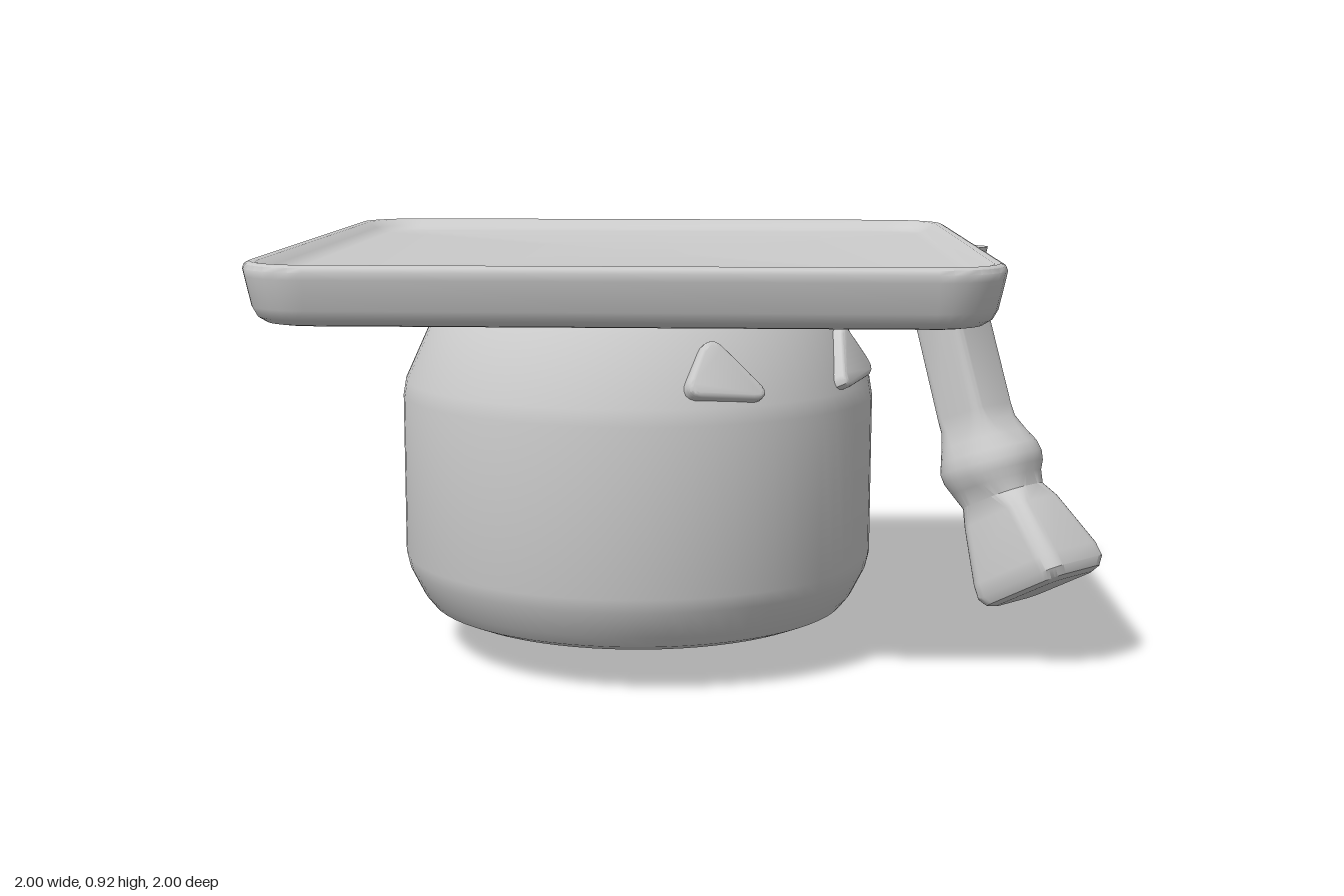
import * as THREE from 'three';
import { toCreasedNormals } from 'three/addons/utils/BufferGeometryUtils.js';

const material = new THREE.MeshStandardMaterial({ color: 0xcccccc });

function part(name, geometry, crease) {
  const mesh = new THREE.Mesh(toCreasedNormals(geometry, crease), material);
  mesh.name = name;
  return mesh;
}

// Lofts rounded rectangles, listed bottom to top:
// [x, y, z, half width, half depth, corner radius, tilt about x]
function loft(sections, cornerSteps = 8) {
  const positions = [], index = [];
  const count = 4 * (cornerSteps + 1);
  const axis = new THREE.Vector3(1, 0, 0);
  for (const [x, y, z, hx, hz, r, tilt = 0] of sections) {
    for (let q = 0; q < 4; q++) {
      const sx = q === 0 || q === 3 ? 1 : -1;
      const sz = q < 2 ? 1 : -1;
      for (let k = 0; k <= cornerSteps; k++) {
        const t = (q + k / cornerSteps) * Math.PI / 2;
        const p = new THREE.Vector3(
          sx * (hx - r) + r * Math.cos(t), 0, sz * (hz - r) + r * Math.sin(t));
        p.applyAxisAngle(axis, tilt);
        positions.push(p.x + x, p.y + y, p.z + z);
      }
    }
  }
  for (let i = 0; i < sections.length - 1; i++) {
    for (let j = 0; j < count; j++) {
      const a = i * count + j, b = i * count + (j + 1) % count;
      index.push(a, a + count, b, b, a + count, b + count);
    }
  }
  const geometry = new THREE.BufferGeometry();
  geometry.setAttribute('position', new THREE.Float32BufferAttribute(positions, 3));
  geometry.setIndex(index);
  return geometry;
}

function roundedTriangle(points, r) {
  const corners = points.map(([x, y]) => new THREE.Vector2(x, y));
  const shape = new THREE.Shape();
  corners.forEach((c, i) => {
    const prev = corners[(i + 2) % 3], next = corners[(i + 1) % 3];
    const a = c.clone().add(prev.clone().sub(c).setLength(r));
    const b = c.clone().add(next.clone().sub(c).setLength(r));
    if (i === 0) shape.moveTo(a.x, a.y); else shape.lineTo(a.x, a.y);
    shape.quadraticCurveTo(c.x, c.y, b.x, b.y);
  });
  shape.closePath();
  return shape;
}

export function createModel() {
  const model = new THREE.Group();
  model.name = 'graduationCap';

  // Round body with a shallow pointed base
  const profile = [[0, 0], [0.05, 0.006], [0.44, 0.09], [0.475, 0.105], [0.495, 0.13],
    [0.525, 0.19], [0.532, 0.22], [0.532, 0.58], [0.526, 0.615], [0.46, 0.76],
    [0.44, 0.785], [0.43, 0.83]].map(([x, y]) => new THREE.Vector2(x, y));
  model.add(part('body', new THREE.LatheGeometry(profile, 72), 0.4));

  // Square board, turned corner-forward, with a raised rim
  const boardProfile = [[0.75, 0.8], [0.07, 0.8], [0.045, 0.804], [0.027, 0.815],
    [0.016, 0.835], [0.003, 0.895], [0, 0.91], [0.004, 0.919], [0.014, 0.924],
    [0.026, 0.922], [0.045, 0.908], [0.06, 0.9], [0.08, 0.897], [0.75, 0.897]];
  const board = part('board', loft(boardProfile.map(([inset, y]) => {
    const h = 0.75 - inset;
    return [0, y, 0, h, h, Math.min(h, Math.max(0.145 - inset, 0.07))];
  })), 0.7);
  board.rotation.y = Math.PI / 4;
  model.add(board);

  // Slanted triangular eyes lying on the upper slope of the body
  for (const side of [1, -1]) {
    const outline = [[-0.085 * side, -0.06], [0.085 * side, -0.045], [0.02 * side, 0.065]];
    if (side < 0) outline.reverse();
    const geometry = new THREE.ExtrudeGeometry(roundedTriangle(outline, 0.03), {
      depth: 0.05, bevelEnabled: true, bevelThickness: 0.012, bevelSize: 0.01,
      bevelSegments: 3, curveSegments: 6 });
    geometry.translate(0, 0, -0.04);
    const eye = part(side > 0 ? 'leftEye' : 'rightEye', geometry, 0.6);
    eye.position.set(0.185 * side, 0.685, 0.46);
    eye.rotation.set(-0.42, 0.36 * side, 0, 'YXZ');
    model.add(eye);
  }

  // Tassel: flared brush, round knot and square cord running into the board
  model.add(part('tassel', loft([
    [0.74, 0.10, 0.605, 0, 0, 0, -0.5],
    [0.74, 0.10, 0.605, 0.08, 0.1, 0.03, -0.5],
    [0.74, 0.107, 0.601, 0.098, 0.12, 0.04, -0.5],
    [0.74, 0.125, 0.592, 0.108, 0.13, 0.04, -0.5],
    [0.74, 0.155, 0.575, 0.108, 0.127, 0.04, -0.5],
    [0.735, 0.27, 0.505, 0.085, 0.1, 0.04, -0.5],
    [0.735, 0.305, 0.48, 0.082, 0.092, 0.06, -0.45],
    [0.735, 0.335, 0.46, 0.1, 0.104, 0.085, -0.4],
    [0.735, 0.358, 0.45, 0.112, 0.116, 0.1, -0.36],
    [0.735, 0.38, 0.442, 0.115, 0.12, 0.105, -0.36],
    [0.735, 0.405, 0.434, 0.11, 0.113, 0.1, -0.36],
    [0.73, 0.435, 0.422, 0.092, 0.094, 0.07, -0.36],
    [0.723, 0.47, 0.41, 0.074, 0.076, 0.04, -0.36],
    [0.72, 0.5, 0.4, 0.07, 0.07, 0.025, -0.36],
    [0.712, 0.78, 0.31, 0.07, 0.068, 0.025, -0.34],
    [0.713, 0.83, 0.3, 0.073, 0.078, 0.03, -0.2],
    [0.72, 0.888, 0.285, 0.085, 0.095, 0.04, 0],
    [0.72, 0.888, 0.285, 0, 0, 0, 0],
  ]), 0.6));

  return model;
}
